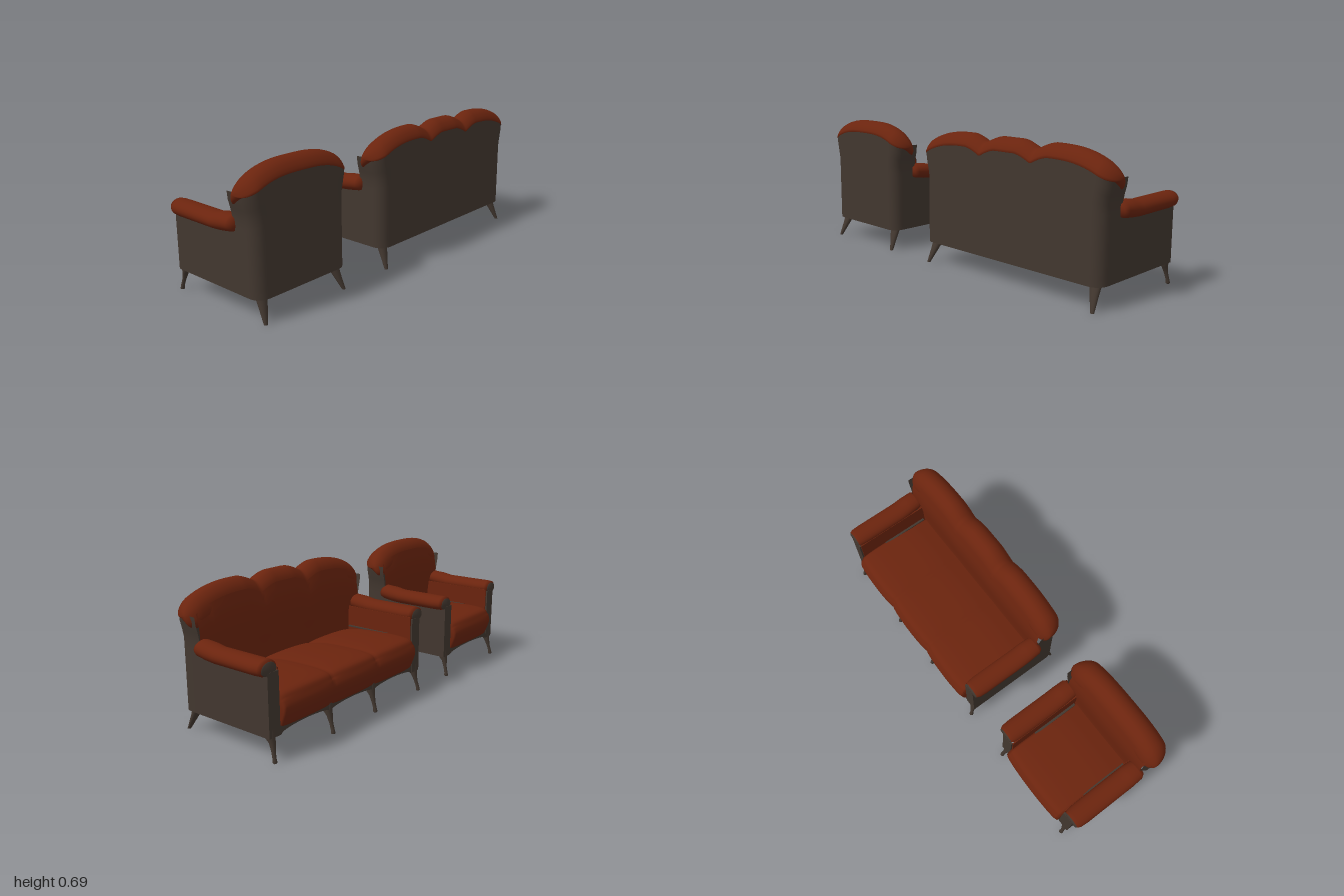
import * as THREE from 'three';
import { mergeVertices } from 'three/addons/utils/BufferGeometryUtils.js';

const mat = (name, color) => {
  const m = new THREE.MeshStandardMaterial({ color, side: THREE.DoubleSide });
  m.name = name;
  return m;
};
const clamp = THREE.MathUtils.clamp;

// Smooth surface from a rule f(u, v) -> [x, y, z], with u and v in 0..1
function surface(nu, nv, f) {
  const pos = [], index = [];
  for (let j = 0; j <= nv; j++)
    for (let i = 0; i <= nu; i++) pos.push(...f(i / nu, j / nv));
  for (let j = 0; j < nv; j++)
    for (let i = 0; i < nu; i++) {
      const a = j * (nu + 1) + i, b = a + 1, c = a + nu + 1, d = c + 1;
      index.push(a, b, d, a, d, c);
    }
  let g = new THREE.BufferGeometry();
  g.setAttribute('position', new THREE.Float32BufferAttribute(pos, 3));
  g.setIndex(index);
  g = mergeVertices(g, 1e-5);
  g.computeVertexNormals();
  return g;
}

// Smooth curve through [a, b] pairs
function profile(pairs, closed = false) {
  const c = new THREE.CatmullRomCurve3(pairs.map(([a, b]) => new THREE.Vector3(a, b, 0)), closed, 'centripetal');
  return t => c.getPoint(t);
}

// Round sections [x, y, z, rx, ry] joined along a path; flat = sections in the xy plane
function loft(sections, flat, sides = 16) {
  const n = sections.length - 1;
  return surface(sides, n, (u, v) => {
    const [x, y, z, rx, ry] = sections[Math.round(v * n)];
    const a = -(u === 1 ? 0 : u) * Math.PI * 2 * (flat ? 1 : -1);
    return flat ? [x + rx * Math.cos(a), y + ry * Math.sin(a), z]
      : [x + rx * Math.cos(a), y, z + ry * Math.sin(a)];
  });
}

// One upholstered seat: hw = half width of the frame, count = number of cushions
function createSeat(name, hw, count, red, grey) {
  const group = new THREE.Group();
  group.name = name;
  const add = (part, geo, m, x = 0, y = 0, z = 0) => {
    const mesh = new THREE.Mesh(geo, m);
    mesh.name = part;
    mesh.position.set(x, y, z);
    group.add(mesh);
  };
  const W = hw + 0.037;                 // half width of the top roll
  const seatHW = hw - 0.072;            // half width between the arms
  const cw = 2 * seatHW / count;        // cushion width
  const nu = 28 * count;

  // Height of the crest: one hump for each cushion, falling at the ends
  const crest = x => {
    const ax = Math.abs(x);
    if (count === 1) return 0.69 - 0.085 * Math.pow(ax / W, 3);
    const valley = 0.036 * Math.pow(Math.max(0, 1 - Math.abs(ax - 0.16) / 0.1), 1.5);
    return 0.69 - valley - 0.085 * Math.pow(Math.max(0, (ax - 0.28) / (W - 0.28)), 2.5);
  };
  // Pillow fullness: 0 at the seams, 1 mid-cushion
  const puff = x => {
    const t = clamp((x + seatHW) / cw, 0, count);
    return Math.pow(Math.abs(Math.sin(Math.PI * t)), 0.4);
  };

  // Outer back shell, wrapping round both rear corners
  const r = 0.06, rim = [];
  rim.push([hw, 0.15], [hw, 0.2]);
  for (let i = 0; i <= 6; i++) {
    const a = i / 6 * Math.PI / 2;
    rim.push([hw - r + r * Math.cos(a), 0.295 - r + r * Math.sin(a)]);
  }
  const inner = 12 * count;
  for (let i = 1; i < inner; i++) rim.push([(hw - r) * (1 - 2 * i / inner), 0.295]);
  for (let i = 8; i >= 0; i--) rim.push([-rim[i][0], rim[i][1]]);
  add('backShell', surface(rim.length - 1, 12, (u, v) => {
    const [px, pz] = rim[Math.round(u * (rim.length - 1))];
    const y = 0.11 + v * (crest(px) - 0.055 - 0.11);
    const flare = THREE.MathUtils.smoothstep(y, 0.45, 0.57) * 0.022;
    return [px * (1 + flare / hw), y, pz - 0.005 * v];
  }), grey);

  // Padded roll along the top of the back, tapering forward at its ends
  const rollP = profile([[0.292, -0.058], [0.272, -0.02], [0.24, 0], [0.205, 0], [0.174, -0.025],
    [0.158, -0.06], [0.153, -0.1], [0.168, -0.125], [0.21, -0.1], [0.26, -0.07]], true);
  add('backRoll', surface(nu * 2, 30, (u, v) => {
    const x = W * Math.sin((u - 0.5) * Math.PI);
    const e = clamp((W - Math.abs(x)) / 0.075, 0, 1);
    const k = Math.sqrt(Math.max(0, 1 - (1 - e) ** 2));
    const p = rollP(v === 1 ? 0 : v);
    return [x, crest(x) - 0.035 + (p.y + 0.035) * k, 0.197 + (p.x - 0.197) * k];
  }), red);

  // Inner back padding, fullest just below the roll
  add('backPadding', surface(nu, 14, (u, v) => {
    const x = (hw - 0.003) * (2 * u - 1);
    return [x, 0.26 + v * (crest(x) - 0.05 - 0.26),
      0.163 - 0.006 * puff(x) - 0.018 * Math.sin(Math.pow(v, 1.6) * Math.PI)];
  }), red);

  // Seat cushions with rounded, overhanging fronts and closed ends
  const seatP = profile([[0.16, 0.285], [0.05, 0.305], [-0.1, 0.312], [-0.22, 0.31], [-0.275, 0.298],
    [-0.292, 0.27], [-0.303, 0.235], [-0.287, 0.18], [-0.265, 0.14], [-0.25, 0.14]]);
  add('seatCushions', surface(nu + 2, 36, (u, v) => {
    const w = clamp((u * (nu + 2) - 1) / nu, 0, 1);
    const x = (seatHW + 0.005) * (2 * w - 1);
    if (u === 0 || u === 1) return [x, 0.24, -0.24];
    const b = 1 - puff(x), p = seatP(v);
    const front = clamp((-0.2 - p.x) / 0.08, 0, 1);
    return [x, p.y - 0.014 * b * (v < 0.55 ? 1 : 0.3), p.x + 0.016 * b * front];
  }), red);

  // Scalloped front rail
  add('frontRail', surface(nu, 1, (u, v) => {
    const x = (hw - 0.02) * (2 * u - 1);
    return [x, v ? 0.155 : 0.108 + 0.024 * puff(x), -0.262];
  }), grey);

  for (const s of [1, -1]) {
    // Side wall, red arm lining and the dark gap beside the seat
    add('sideWall', new THREE.BoxGeometry(0.008, 0.3, 0.43), grey, s * (hw - 0.004), 0.26, -0.045);
    add('armLining', new THREE.BoxGeometry(0.006, 0.16, 0.41), red, s * (hw - 0.069), 0.33, -0.05);
    add('seatGap', new THREE.BoxGeometry(0.012, 0.006, 0.26), grey, s * (seatHW - 0.006), 0.3, 0.015);

    // Padded arm
    const ax = s * (hw - 0.016);
    add('armPad', loft([
      [ax, 0.425, 0.165, 0, 0], [ax, 0.425, 0.16, 0.04, 0.03], [ax, 0.428, 0.14, 0.052, 0.04],
      [ax, 0.422, 0.08, 0.055, 0.042], [ax, 0.416, 0.03, 0.055, 0.039], [ax, 0.416, -0.2, 0.055, 0.039],
      [ax, 0.417, -0.24, 0.052, 0.038], [ax, 0.42, -0.257, 0.044, 0.033], [ax, 0.42, -0.26, 0, 0]
    ], true, 24), red);

    // Front post with a rounded scroll head
    add('armScroll', loft([
      [ax, 0.415, -0.254, 0.044, 0.032], [ax, 0.415, -0.262, 0.04, 0.029], [ax, 0.415, -0.264, 0, 0]
    ], true, 24), grey);
    add('armPost', new THREE.BoxGeometry(0.066, 0.29, 0.01), grey, s * (hw - 0.033), 0.255, -0.259);

    // Splayed rear leg
    add('rearLeg', loft([
      [s * (hw - 0.055), 0.125, 0.242, 0.033, 0.024], [s * (hw - 0.045), 0.07, 0.266, 0.022, 0.017],
      [s * (hw - 0.03), 0, 0.297, 0.009, 0.008], [s * (hw - 0.03), 0, 0.297, 0, 0]
    ], false), grey);
  }

  // Curved front legs at the corners and beneath the seams
  const legX = [-(hw - 0.024), hw - 0.024];
  for (let i = 1; i < count; i++) legX.push(-seatHW + i * cw);
  for (const x of legX) {
    const out = Math.abs(x) > seatHW ? Math.sign(x) * 0.008 : 0;
    add('frontLeg', loft([
      [x, 0.15, -0.243, 0.022, 0.022], [x, 0.11, -0.243, 0.022, 0.024], [x, 0.085, -0.255, 0.015, 0.014],
      [x + out / 2, 0.05, -0.264, 0.01, 0.009], [x + out, 0.018, -0.273, 0.009, 0.009],
      [x + out, 0.004, -0.275, 0.011, 0.011], [x + out, 0, -0.275, 0.008, 0.008], [x + out, 0, -0.275, 0, 0]
    ], false), grey);
  }
  return group;
}

export function createModel() {
  const red = mat('rust red upholstery', 0x6b240e);
  const grey = mat('dark brown grey frame', 0x42372f);
  const model = new THREE.Group();
  model.name = 'loungeSuite';

  const armchair = createSeat('armchair', 0.274, 1, red, grey);
  armchair.position.x = -0.689;
  const sofa = createSeat('sofa', 0.558, 3, red, grey);
  sofa.position.x = 0.4;
  model.add(armchair, sofa);
  return model;
}
